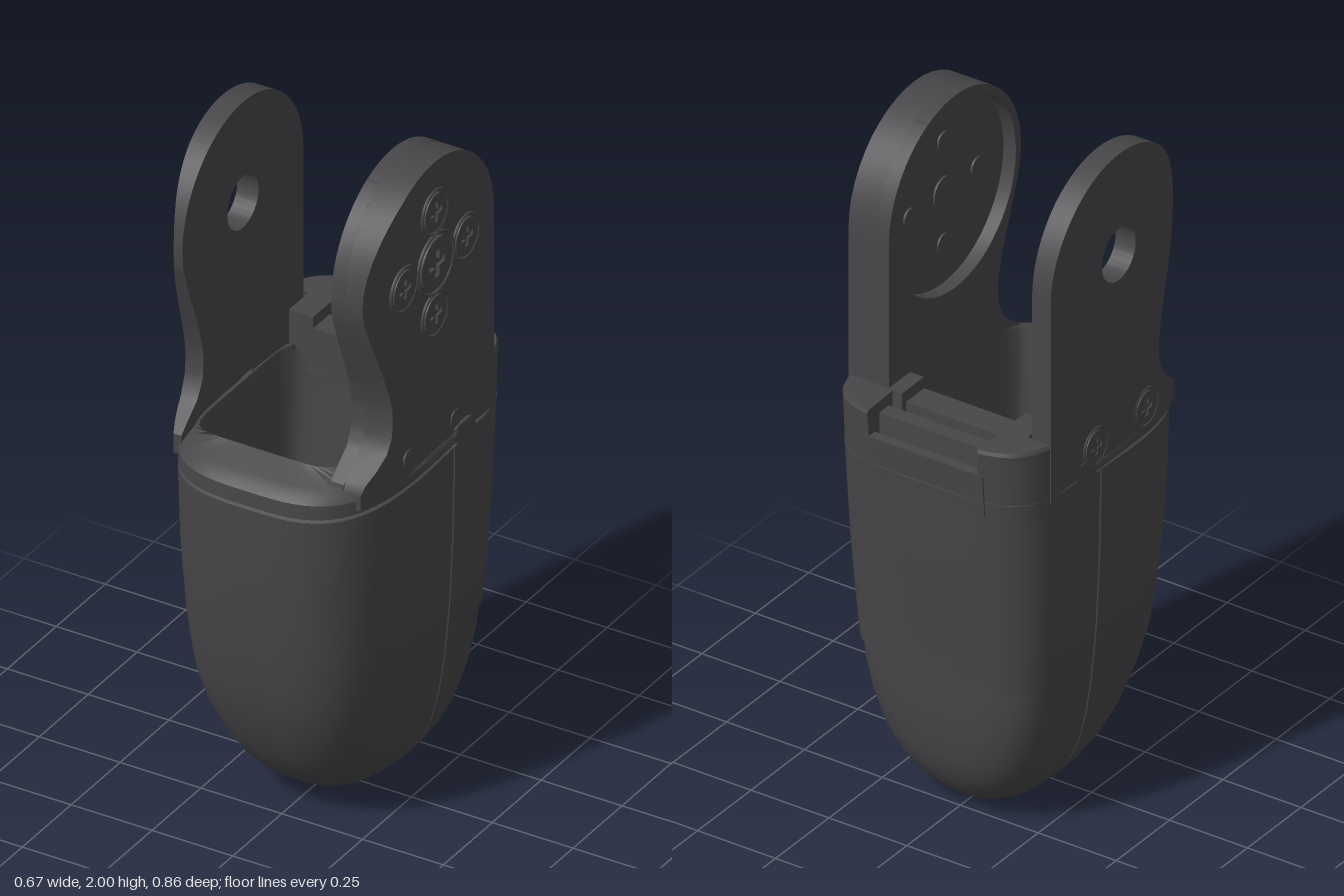
import * as THREE from 'three';
import { toCreasedNormals } from 'three/addons/utils/BufferGeometryUtils.js';

const material = new THREE.MeshStandardMaterial({ color: 0x47474a });
const ZC = -0.08; // seam plane between front and rear shells
const PIVOT = { y: 1.69, z: 0.01 };

// Body profile: height, half width, front z, back z
const PROFILE = [
  [0, 0.05, 0, -0.14], [0.012, 0.1, 0.06, -0.2], [0.04, 0.15, 0.135, -0.25], [0.09, 0.202, 0.205, -0.292],
  [0.14, 0.235, 0.25, -0.315], [0.2, 0.262, 0.288, -0.332], [0.3, 0.287, 0.335, -0.346], [0.4, 0.302, 0.366, -0.352],
  [0.465, 0.309, 0.38, -0.355], [0.47, 0.31, 0.381, -0.37], [0.6, 0.321, 0.4, -0.38], [0.8, 0.33, 0.42, -0.397],
  [1.0, 0.334, 0.428, -0.413], [1.045, 0.334, 0.43, -0.417], [1.25, 0.334, 0.43, -0.434],
];
// Front edge of the arms: height, z
const ARM_FRONT = [
  [1.07, 0.325], [1.13, 0.325], [1.155, 0.295], [1.2, 0.24], [1.25, 0.215], [1.32, 0.21],
  [1.4, 0.23], [1.55, 0.285], [1.64, 0.315], [1.69, 0.32],
];

function lookup(table, y) {
  let i = 1;
  while (i < table.length - 1 && table[i][0] < y) i++;
  const a = table[i - 1], b = table[i];
  const t = THREE.MathUtils.clamp((y - a[0]) / (b[0] - a[0]), 0, 1);
  return a.map((v, k) => v + (b[k] - v) * t);
}

// Skin through cross-sections, optionally capped at the first and last one
function loft(rings, capFirst = true, capLast = true) {
  const n = rings[0].length, pos = rings.flat(2), idx = [];
  rings.slice(1).forEach((_, j) => {
    for (let i = 0; i < n; i++) {
      const a = j * n + i, b = j * n + (i + 1) % n;
      idx.push(a, a + n, b, b, a + n, b + n);
    }
  });
  const cap = (j, up) => {
    const c = pos.length / 3;
    for (let k = 0; k < 3; k++) pos.push(rings[j].reduce((s, p) => s + p[k], 0) / n);
    for (let i = 0; i < n; i++) {
      const a = j * n + i, b = j * n + (i + 1) % n;
      idx.push(c, up ? b : a, up ? a : b);
    }
  };
  if (capFirst) cap(0, false);
  if (capLast) cap(rings.length - 1, true);
  const g = new THREE.BufferGeometry();
  g.setAttribute('position', new THREE.Float32BufferAttribute(pos, 3));
  g.setIndex(idx);
  return toCreasedNormals(g, 0.5);
}

const polar = (th, a, c, n) =>
  Math.pow(Math.pow(Math.abs(Math.cos(th)) / a, n) + Math.pow(Math.abs(Math.sin(th)) / c, n), -1 / n);

// Point on the rounded plan outline of the body
function outline(y, th, scale = 1) {
  const [, a, zf, zb] = lookup(PROFILE, y);
  const front = Math.sin(th) >= 0, t = Math.min(1, y / 0.4);
  const r = scale * polar(th, a, front ? zf - ZC : ZC - zb, 2.2 + t * (front ? 1.1 : 2.2));
  return [r * Math.cos(th), y, ZC + r * Math.sin(th)];
}

const SEG = 96, ANGLES = [];
for (let i = 0; i < SEG; i++) {
  const th = (i / SEG) * Math.PI * 2;
  if (i % (SEG / 2) === 0) ANGLES.push(th - 0.012, th, th + 0.012);
  else ANGLES.push(th);
}
// The side seam is a narrow V groove
const bodyRing = y => ANGLES.map(th => outline(y, th, Math.abs(Math.sin(th)) < 1e-6 ? 0.975 : 1));
// Collar rings shrink only on the front half
const collarRing = (y, s) => ANGLES.map(th => outline(y, th, Math.sin(th) > -0.02 ? s : 1));
const tilt = ring => ring.map(([x, y, z]) => [x, y + 0.03 * THREE.MathUtils.clamp((0.43 - z) / 0.51, 0, 1), z]);
const cavityRing = (y, s) => ANGLES.map(th => {
  const r = s * polar(th, 0.22, 0.255, 8);
  return [-0.025 + r * Math.cos(th), y, 0.055 + r * Math.sin(th)];
});

// Half width the arm faces follow along z
function halfWidth(z) {
  const front = z > ZC, c = front ? 0.51 : 0.354, n = front ? 3.9 : 5;
  return 0.331 * Math.pow(Math.max(0, 1 - Math.pow(Math.abs(z - ZC) / c, n)), 1 / n);
}
const arc = (y, r) => Math.sqrt(Math.max(0, r * r - (y - PIVOT.y) ** 2));
const armBack = y => (y > PIVOT.y ? PIVOT.z - arc(y, 0.31) : -0.3);
const armFront = y => (y > PIVOT.y ? PIVOT.z + arc(y, 0.31) : lookup(ARM_FRONT, y)[1]);

// Arm slab between two heights and two z limits
function armPiece(side, y0, y1, back, front, inner, outer) {
  const rings = [];
  for (let j = 0; j <= 28; j++) {
    const y = y0 + (y1 - y0) * (1 - Math.cos(Math.PI * j / 28)) / 2;
    const za = back(y), zb = front(y), ring = [];
    for (let k = 0; k <= 12; k++) {
      const z = za + (zb - za) * k / 12;
      ring.push([side * Math.min(outer, halfWidth(z)), y, z]);
    }
    ring.push([side * inner, y, zb], [side * inner, y, za]);
    rings.push(side > 0 ? ring : ring.reverse());
  }
  return loft(rings);
}

// Arm slab with a round opening at the pivot
function armWithHole(side, r, inner, outer) {
  const lo = PIVOT.y - r, hi = PIVOT.y + r;
  return [
    armPiece(side, 1.07, lo, armBack, armFront, inner, outer),
    armPiece(side, lo, hi, armBack, y => PIVOT.z - arc(y, r), inner, outer),
    armPiece(side, lo, hi, y => PIVOT.z + arc(y, r), armFront, inner, outer),
    armPiece(side, hi, 2, armBack, armFront, inner, outer),
  ];
}

export function createModel() {
  const model = new THREE.Group();
  const add = (name, geometry, parent = model) => {
    const m = new THREE.Mesh(geometry, material);
    m.name = name;
    parent.add(m);
    return m;
  };
  const group = name => {
    const g = new THREE.Group();
    g.name = name;
    model.add(g);
    return g;
  };
  const block = (name, x0, x1, y0, y1, z0, z1) =>
    add(name, new THREE.BoxGeometry(x1 - x0, y1 - y0, z1 - z0))
      .position.set((x0 + x1) / 2, (y0 + y1) / 2, (z0 + z1) / 2);

  // Rounded lower shell, open at the top
  const levels = PROFILE.slice(0, -2).map(p => p[0]);
  const joint = tilt(collarRing(1.045, 0.978));
  add('bodyShell', loft([...levels.map(bodyRing), tilt(bodyRing(1.04)), joint], true, false));

  // Sloping collar, running down into the hollow interior
  const low = ring => ring.map(([x, y, z]) => [x, z < -0.19 ? Math.min(y, 1.085) : y, z]);
  add('collarAndCavity', loft([
    joint, tilt(collarRing(1.051, 1)),
    low(collarRing(1.095, 0.997)), low(collarRing(1.11, 0.97)), low(collarRing(1.125, 0.91)),
    low(cavityRing(1.155, 1.01)), low(cavityRing(1.145, 1)),
    cavityRing(0.55, 1), cavityRing(0.35, 0.87), cavityRing(0.22, 0.68), cavityRing(0.16, 0.45),
  ], false, true));

  // Rear corner uprights
  for (const side of [1, -1]) {
    const rings = [1.03, 1.15, 1.24, 1.25].map((y, j) => {
      const ring = [];
      for (let k = 0; k <= 10; k++) {
        const p = outline(y, -1.1 + 0.5 * k / 10, j === 3 ? 0.985 : 1);
        ring.push([side * p[0], y, p[2]]);
      }
      ring.push([side * 0.18, y, -0.3]);
      return side > 0 ? ring : ring.reverse();
    });
    add(side > 0 ? 'leftRearCorner' : 'rightRearCorner', loft(rings));
  }

  // Rear panel continuing the shell, slot bar and inner posts
  add('rearPanel', loft([1.04, 1.17].map(y => {
    const zb = lookup(PROFILE, y)[3] + 0.002;
    return [[0.19, y, zb + 0.03], [-0.19, y, zb + 0.03], [-0.19, y, zb], [0.19, y, zb]];
  })));
  block('slotBar', -0.185, 0.185, 1.06, 1.215, -0.37, -0.325);
  block('innerShelf', -0.175, 0.155, 1.06, 1.215, -0.285, -0.2);
  block('innerPostRight', -0.25, -0.175, 1.06, 1.25, -0.305, -0.2);
  block('innerPostLeft', 0.15, 0.2, 1.06, 1.25, -0.305, -0.2);
  block('bottomCatch', -0.07, 0.07, 0.001, 0.02, -0.09, -0.04);

  // Thick arm with a round recess inside, thin arm with a through hole
  const thick = group('leftArm');
  add('leftArmPlate', armPiece(1, 1.07, 2, armBack, armFront, 0.235, 0.326), thick);
  armWithHole(1, 0.285, 0.195, 0.236).forEach(g => add('leftArmRim', g, thick));
  const thin = group('rightArm');
  armWithHole(-1, 0.08, 0.265, 0.331).forEach(g => add('rightArmPlate', g, thin));

  // Cross-head screws with a surrounding ring
  const screw = (name, side, x, y, z, r) => {
    const g = group(name);
    const head = new THREE.Shape().absarc(0, 0, r * 0.82, 0, Math.PI * 2, false);
    const w = r * 0.11, l = r * 0.42;
    head.holes.push(new THREE.Path([[w, l], [w, w], [l, w], [l, -w], [w, -w], [w, -l],
      [-w, -l], [-w, -w], [-l, -w], [-l, w], [-w, w], [-w, l]].map(p => new THREE.Vector2(...p))));
    add('screwHead', new THREE.ExtrudeGeometry(head, { depth: 0.016, bevelEnabled: false, curveSegments: 20 }), g)
      .position.z = -0.016;
    add('screwRing', new THREE.TorusGeometry(r * 0.95, 0.005, 6, 36), g).position.z = -0.005;
    g.rotation.y = side * Math.PI / 2;
    g.position.set(side * x, y, z);
  };
  const surface = z => Math.min(0.326, halfWidth(z));
  screw('pivotScrew', 1, 0.336, PIVOT.y, PIVOT.z, 0.095);
  for (let i = 0; i < 4; i++) {
    const a = i * Math.PI / 2, z = PIVOT.z + 0.158 * Math.cos(a);
    screw('hornScrew', 1, surface(z) + 0.007, PIVOT.y + 0.158 * Math.sin(a), z, 0.068);
  }

  // Flush discs: screw ends in the recess and pins at the arm foot
  const disc = (name, x, y, z, r) => {
    const m = add(name, new THREE.CylinderGeometry(r, r, 0.01, 24));
    m.rotation.z = Math.PI / 2;
    m.position.set(x, y, z);
  };
  disc('recessHub', 0.234, PIVOT.y, PIVOT.z, 0.045);
  for (let i = 0; i < 4; i++) {
    const a = i * Math.PI / 2;
    disc('recessPin', 0.234, PIVOT.y + 0.158 * Math.sin(a), PIVOT.z + 0.158 * Math.cos(a), 0.027);
  }
  for (const z of [0.14, -0.1]) {
    disc('footPin', surface(z) - 0.002, 1.15, z, 0.027);
    screw('footScrew', -1, halfWidth(z) + 0.004, 1.15, z, 0.058);
  }
  return model;
}
